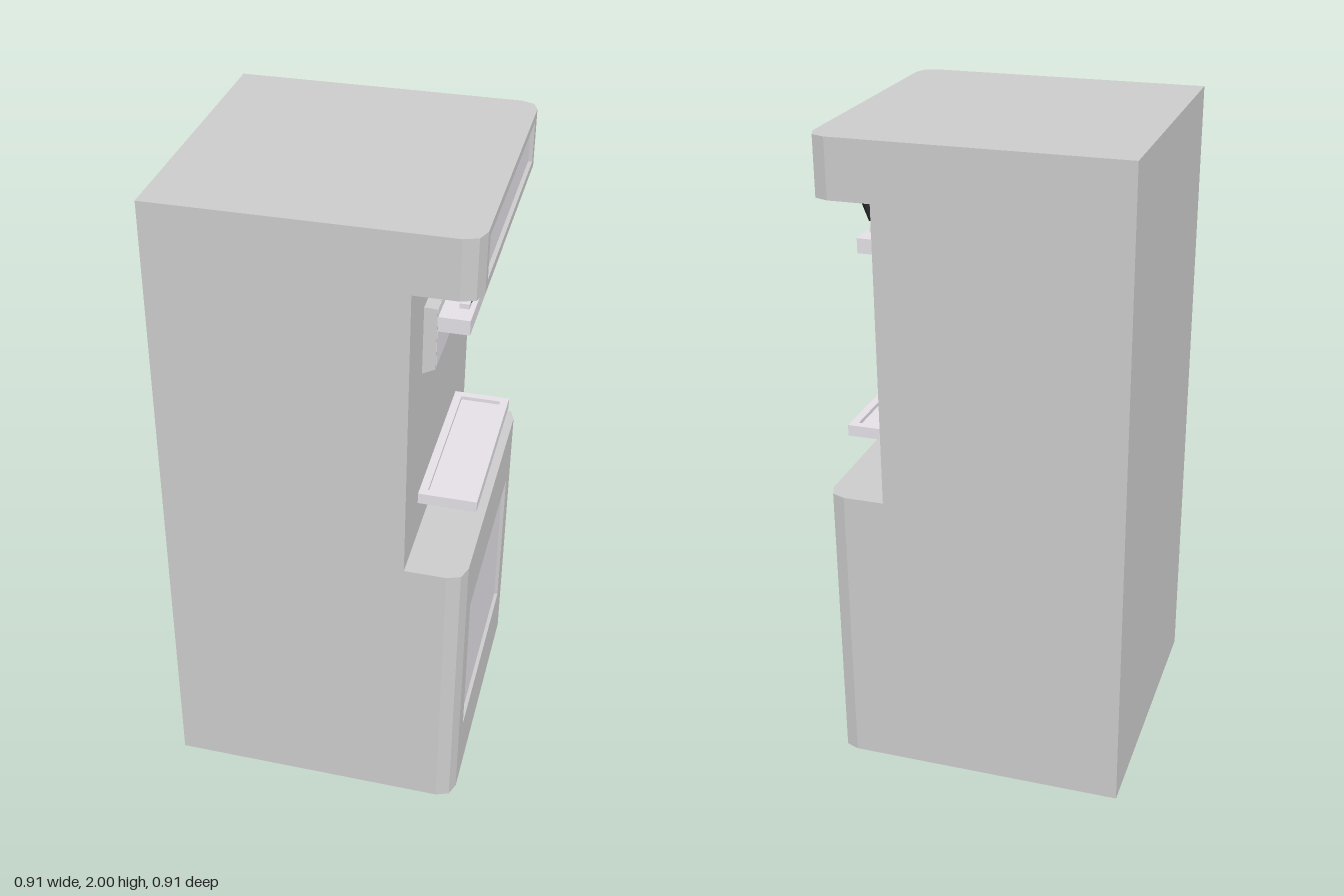
import * as THREE from 'three';

const grey = new THREE.MeshStandardMaterial({ color: 0xcccccc, flatShading: true });
const light = new THREE.MeshStandardMaterial({ color: 0xe3dfe6, flatShading: true });
const lightSmooth = new THREE.MeshStandardMaterial({ color: 0xe3dfe6 });
const black = new THREE.MeshStandardMaterial({ color: 0x222222 });

function add(parent, name, geometry, material, x = 0, y = 0, z = 0) {
  const mesh = new THREE.Mesh(geometry, material);
  mesh.name = name;
  mesh.position.set(x, y, z);
  parent.add(mesh);
  return mesh;
}

// Box given by its min and max corners
function block(parent, name, material, [x0, y0, z0], [x1, y1, z1]) {
  return add(parent, name, new THREE.BoxGeometry(x1 - x0, y1 - y0, z1 - z0), material,
    (x0 + x1) / 2, (y0 + y1) / 2, (z0 + z1) / 2);
}

function rect(Type, u0, v0, u1, v1) {
  return new Type([[u0, v0], [u1, v0], [u1, v1], [u0, v1]].map(p => new THREE.Vector2(...p)));
}

// Projecting part of the cabinet: chamfered corners and a face with a sunken panel
function frontSection(parent, name, y0, y1, panel) {
  const [halfW, p0, p1] = panel;
  const group = new THREE.Group();
  group.name = name;
  parent.add(group);

  const plan = new THREE.Shape([[0.275, -0.455], [0.4, -0.455], [0.44, -0.44], [0.44, 0.44],
    [0.4, 0.455], [0.275, 0.455]].map(p => new THREE.Vector2(...p)));
  const core = new THREE.ExtrudeGeometry(plan, { depth: y1 - y0, bevelEnabled: false });
  core.rotateX(-Math.PI / 2);
  add(group, name + 'Core', core, grey, 0, y0, 0);

  // Face plate, its back edge widened to continue the chamfer
  const face = rect(THREE.Shape, -0.4, y0, 0.4, y1);
  face.holes.push(rect(THREE.Path, -halfW, p0, halfW, p1));
  const plate = new THREE.ExtrudeGeometry(face, { depth: 0.015, bevelEnabled: false });
  const pos = plate.attributes.position;
  for (let i = 0; i < pos.count; i++) {
    if (pos.getZ(i) < 0.001 && Math.abs(pos.getX(i)) > 0.399) pos.setX(i, Math.sign(pos.getX(i)) * 0.44);
  }
  plate.computeVertexNormals();
  plate.rotateY(Math.PI / 2);
  add(group, name + 'Face', plate, grey, 0.44, 0, 0);
  block(group, name + 'Panel', light, [0.435, p0, -halfW], [0.443, p1, halfW]);
}

export function createModel() {
  const model = new THREE.Group();
  model.name = 'drinkDispenser';

  // Cabinet
  block(model, 'cabinetBack', grey, [-0.457, 0, -0.455], [0.275, 2, 0.455]);
  frontSection(model, 'lowerCabinet', 0, 0.915, [0.325, 0.21, 0.715]);
  frontSection(model, 'signHeader', 1.825, 2, [0.37, 1.85, 1.975]);

  // Tapered backplate behind the taps
  const backplate = new THREE.BoxGeometry(0.035, 0.21, 0.566);
  const pos = backplate.attributes.position;
  for (let i = 0; i < pos.count; i++) {
    if (pos.getX(i) > 0) {
      pos.setY(i, pos.getY(i) - Math.sign(pos.getY(i)) * 0.01);
      pos.setZ(i, pos.getZ(i) - Math.sign(pos.getZ(i)) * 0.014);
    }
  }
  backplate.computeVertexNormals();
  add(model, 'tapBackplate', backplate, grey, 0.2925, 1.59, 0);
  block(model, 'tapBackplatePanel', light, [0.3, 1.501, -0.267], [0.311, 1.684, 0.267]);

  // Tap bar
  block(model, 'tapBar', light, [0.31, 1.615, -0.265], [0.4, 1.66, 0.265]);

  // Taps: collar, spout and tilted handle
  const spout = new THREE.LatheGeometry([[0, -0.04], [0.005, -0.04], [0.006, -0.018],
    [0.016, -0.009], [0.016, 0.002]].map(p => new THREE.Vector2(...p)), 16);
  const handle = new THREE.CylinderGeometry(0.012, 0.009, 0.075, 16);
  const stem = new THREE.CylinderGeometry(0.006, 0.006, 0.04, 12);
  for (const z of [-0.17, 0, 0.17]) {
    const tap = new THREE.Group();
    tap.name = 'tap';
    tap.position.set(0.37, 0, z);
    model.add(tap);
    block(tap, 'tapCollar', light, [-0.013, 1.655, -0.034], [0.015, 1.675, 0.034]);
    add(tap, 'tapSpout', spout, lightSmooth, -0.004, 1.615, 0);
    add(tap, 'tapStem', stem, black, 0.016, 1.683, 0).rotation.z = -0.33;
    add(tap, 'tapHandle', handle, black, 0.032, 1.722, 0).rotation.z = -0.33;
  }

  // Drip tray: rim with a sunken floor
  const rim = rect(THREE.Shape, 0.275, -0.283, 0.45, 0.283);
  rim.holes.push(rect(THREE.Path, 0.3, -0.258, 0.425, 0.258));
  const rimGeometry = new THREE.ExtrudeGeometry(rim, { depth: 0.035, bevelEnabled: false });
  rimGeometry.rotateX(-Math.PI / 2);
  add(model, 'dripTrayRim', rimGeometry, light, 0, 1.035, 0);
  block(model, 'dripTrayFloor', light, [0.3, 1.035, -0.258], [0.425, 1.058, 0.258]);

  return model;
}
